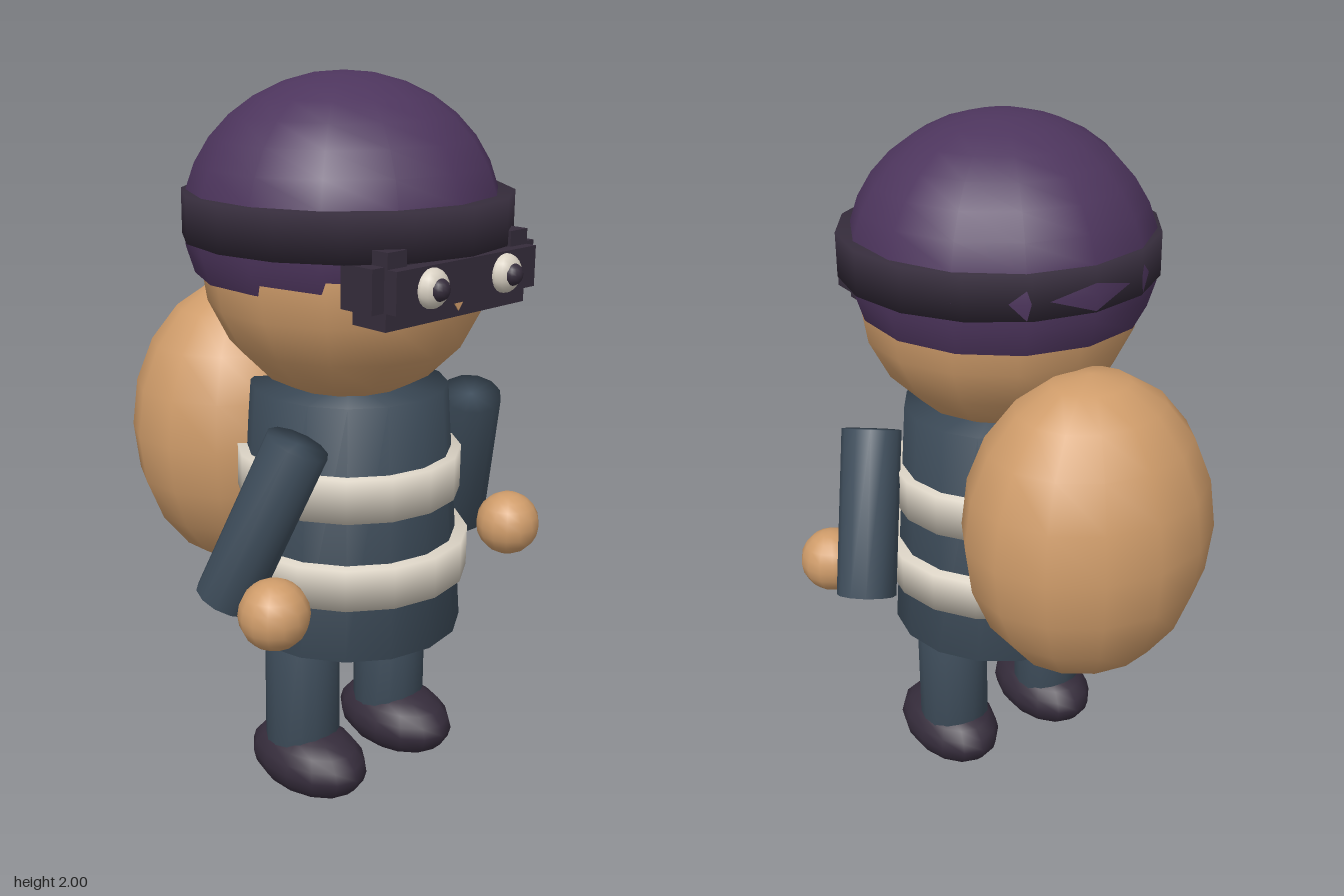
import * as THREE from 'three';
import { mergeVertices } from 'three/addons/utils/BufferGeometryUtils.js';

const material = (name, color) => {
  const m = new THREE.MeshStandardMaterial({ color });
  m.name = name;
  return m;
};

export function createModel() {
  const model = new THREE.Group();
  model.name = 'burglar';
  const skin = material('tan', 0xcf9c6a);
  const purple = material('purple', 0x4d355d);
  const dark = material('dark plum', 0x352c3b);
  const blue = material('slate blue', 0x3e4d5b);
  const cream = material('cream', 0xd9d1c3);

  const add = (name, geometry, mat, x = 0, y = 0, z = 0) => {
    const mesh = new THREE.Mesh(geometry, mat);
    mesh.name = name;
    mesh.position.set(x, y, z);
    model.add(mesh);
    return mesh;
  };

  // Ellipsoid with a vertex facing front and back
  const ball = (rx, ry, rz, thetaLength = Math.PI) =>
    new THREE.SphereGeometry(1, 14, 10, 0, Math.PI * 2, 0, thetaLength)
      .rotateY(Math.PI / 2).scale(rx, ry, rz);

  // Cylinder whose normals run softly over the rims
  const softCylinder = (top, bottom, height, sides = 16) => {
    const g = new THREE.CylinderGeometry(top, bottom, height, sides);
    g.deleteAttribute('normal');
    g.deleteAttribute('uv');
    const merged = mergeVertices(g, 1e-4);
    merged.computeVertexNormals();
    return merged;
  };

  // Box given by half width, y range and z range
  const slab = (name, x0, x1, y0, y1, z0, z1, mat) =>
    add(name, new THREE.BoxGeometry(x1 - x0, y1 - y0, z1 - z0), mat,
      (x0 + x1) / 2, (y0 + y1) / 2, (z0 + z1) / 2);

  // Torso and its stripes
  add('torso', softCylinder(0.27, 0.32, 0.69), blue, 0, 0.835, 0.14);
  add('upperStripe', softCylinder(0.31, 0.31, 0.12), cream, 0, 0.94, 0.14);
  add('lowerStripe', softCylinder(0.335, 0.335, 0.115), cream, 0, 0.7025, 0.14);

  // Head, cap and cap band
  add('head', ball(0.395, 0.39, 0.39), skin, 0, 1.53, 0.13);
  const cap = add('cap', ball(0.42, 0.38, 0.425, Math.PI * 0.62), purple, 0, 1.62, 0.11);
  cap.material.side = THREE.DoubleSide;
  add('capBand', softCylinder(0.438, 0.438, 0.12), dark, 0, 1.64, 0.127);

  // Mask
  slab('maskFront', -0.255, 0.255, 1.47, 1.575, 0.41, 0.555, dark);
  slab('maskSides', -0.295, 0.295, 1.47, 1.58, 0.41, 0.515, dark);
  slab('maskLower', -0.255, 0.255, 1.425, 1.5, 0.41, 0.522, dark);

  // Small nose showing below the mask
  const nose = new THREE.Shape([[-0.02, 0.012], [0, -0.013], [0.02, 0.012]]
    .map(([x, y]) => new THREE.Vector2(x, y)));
  add('nose', new THREE.ExtrudeGeometry(nose, { depth: 0.008, bevelEnabled: false }),
    skin, 0, 1.453, 0.517);

  for (const s of [-1, 1]) {
    const side = s > 0 ? 'left' : 'right';

    // Mask tab and eye
    const tabX = [s * 0.19, s * 0.255].sort((a, b) => a - b);
    slab(side + 'MaskTab', tabX[0], tabX[1], 1.56, 1.615, 0.46, 0.525, dark);
    add(side + 'Eye', ball(0.05, 0.05, 0.035), cream, s * 0.135, 1.52, 0.557);
    add(side + 'Pupil', ball(0.029, 0.029, 0.029), dark, s * 0.135, 1.52, 0.578);

    // Arm slanting outwards and back, with a hand in front
    const from = new THREE.Vector3(s * 0.33, 1.11, 0.295);
    const to = new THREE.Vector3(s * 0.452, 0.675, 0.148);
    const axis = from.clone().sub(to);
    const mid = from.clone().add(to).multiplyScalar(0.5);
    const arm = add(side + 'Arm', softCylinder(0.085, 0.085, axis.length(), 12), blue, mid.x, mid.y, mid.z);
    arm.quaternion.setFromUnitVectors(new THREE.Vector3(0, 1, 0), axis.normalize());
    add(side + 'Hand', ball(0.093, 0.093, 0.093), skin, s * 0.457, 0.7, 0.345);

    // Leg and shoe
    add(side + 'Leg', softCylinder(0.105, 0.105, 0.4), blue, s * 0.175, 0.32, 0.14);
    add(side + 'Shoe', ball(0.131, 0.1, 0.197), dark, s * 0.177, 0.104, 0.168);
  }

  // Sack on the back with its tied neck
  add('sack', ball(0.355, 0.44, 0.315), skin, 0, 0.97, -0.295);
  add('sackNeck', softCylinder(0.06, 0.08, 0.2, 12), skin, 0, 1.28, -0.19);

  return model;
}
